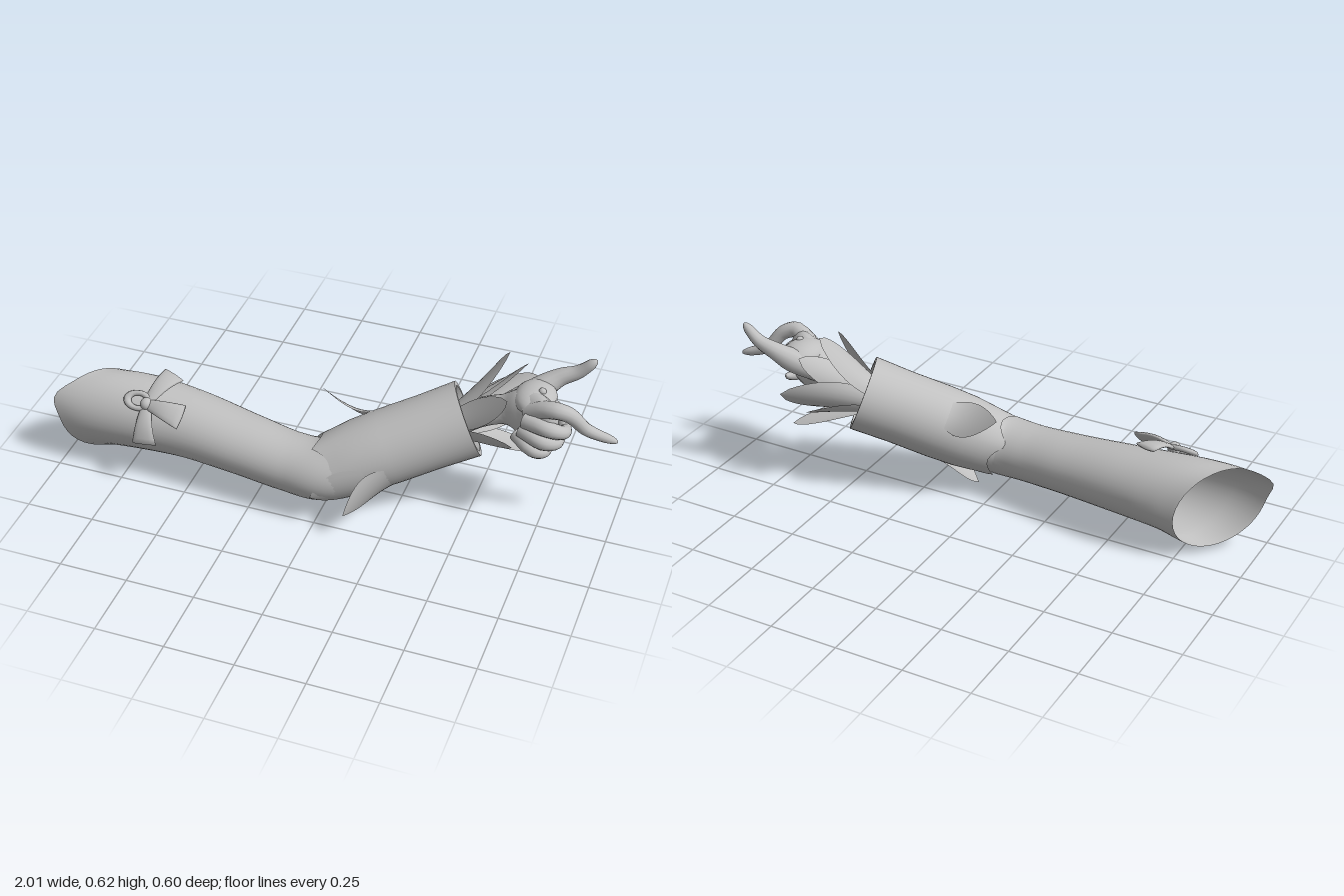
import * as THREE from 'three';
import { toCreasedNormals } from 'three/addons/utils/BufferGeometryUtils.js';

const grey = new THREE.MeshStandardMaterial({ color: 0xc0c0c0, side: THREE.DoubleSide });
grey.name = 'light grey';
const vec = (a) => new THREE.Vector3(a[0], a[1], a[2]);

// Indexed grid surface; point(u, v) gives positions, wrap closes it in v
function surface(rows, cols, wrap, point) {
  const pos = [], index = [], n = wrap ? cols : cols + 1;
  for (let i = 0; i <= rows; i++)
    for (let j = 0; j < n; j++) pos.push(...point(i / rows, j / cols).toArray());
  for (let i = 0; i < rows; i++)
    for (let j = 0; j < cols; j++) {
      const k = (j + 1) % n, a = i * n + j, b = a + n, c = i * n + k, d = c + n;
      index.push(a, b, c, c, b, d);
    }
  const g = new THREE.BufferGeometry();
  g.setAttribute('position', new THREE.Float32BufferAttribute(pos, 3));
  g.setIndex(index);
  g.computeVertexNormals();
  return g;
}

// Tube through sections [x, y, z, height radius, width radius]
function limb(sections, { rows = 24, cols = 16, round = false, deform } = {}) {
  const path = new THREE.CatmullRomCurve3(sections.map(vec));
  const radii = new THREE.CatmullRomCurve3(
    sections.map((s) => new THREE.Vector3(s[3], s[4] ?? s[3], 0)));
  const up = new THREE.Vector3(0, 1, 0);
  return surface(rows, cols, true, (u, v) => {
    const t = round ? 1 - (1 - u) ** 1.5 : u;
    const c = path.getPoint(t), r = radii.getPoint(t), T = path.getTangent(t);
    const U = new THREE.Vector3().crossVectors(up, T).normalize();
    const V = new THREE.Vector3().crossVectors(T, U);
    const k = round && t > 0.9 ? Math.sqrt(Math.max(0, 1 - ((t - 0.9) / 0.1) ** 2)) : 1;
    const q = v * Math.PI * 2;
    c.addScaledVector(V, r.x * k * Math.cos(q)).addScaledVector(U, r.y * k * Math.sin(q));
    if (deform) deform(c, q);
    return c;
  });
}

// Petal wrapped around the y axis, flaring from (baseY, baseR) out to a tip
function petal(tip, baseY, baseR, width, flare, blunt) {
  const angle = Math.atan2(tip.z, tip.x), tipR = Math.hypot(tip.x, tip.z);
  return surface(14, 8, false, (u, v) => {
    const r = baseR + (tipR - baseR) * u ** flare;
    const w = width * Math.max(0, Math.sin(Math.PI * (0.2 + 0.8 * u ** 1.15))) ** blunt;
    const q = angle + ((v * 2 - 1) * w) / r;
    return new THREE.Vector3(r * Math.cos(q), baseY + (tip.y - baseY) * u, r * Math.sin(q));
  });
}

export function createModel() {
  const model = new THREE.Group();
  const add = (name, geometry, parent = model) => {
    const mesh = new THREE.Mesh(geometry, grey);
    mesh.name = name;
    parent.add(mesh);
    return mesh;
  };
  const group = (name, parent = model) => {
    const g = new THREE.Group();
    g.name = name;
    parent.add(g);
    return g;
  };

  // Upper sleeve with a slanted, open shoulder end and one raised point
  add('upperSleeve', limb([
    [-0.87, 0.19, 0.10, 0.163, 0.125], [-0.77, 0.205, 0.10, 0.147, 0.134],
    [-0.55, 0.205, 0.10, 0.125, 0.132], [-0.30, 0.188, 0.128, 0.108, 0.122],
    [-0.12, 0.175, 0.15, 0.104, 0.115], [0.0, 0.178, 0.153, 0.11, 0.117],
    [0.09, 0.212, 0.113, 0.112, 0.115], [0.2, 0.259, 0.062, 0.11, 0.11],
  ], {
    rows: 48, cols: 36,
    deform: (p, q) => {
      const k = THREE.MathUtils.smoothstep(-p.x, 0.5, 0.87);
      const point = Math.max(0, Math.cos(q + 1)) ** 14;
      p.x -= k * (0.95 * (p.z - 0.1) + 0.035 * point);
    },
  }));

  // Forearm frame, with y running from elbow to cuff
  const elbow = vec([0, 0.175, 0.15]), cuffEnd = vec([0.465, 0.371, -0.056]);
  const axis = cuffEnd.clone().sub(elbow), len = axis.length();
  const forearm = group('forearm');
  forearm.position.copy(elbow);
  forearm.quaternion.setFromUnitVectors(new THREE.Vector3(0, 1, 0), axis.normalize());
  forearm.updateMatrixWorld(true);

  // Forearm sleeve: lathe with a thick cuff rim and a scalloped elbow hem
  const profile = [
    [0.119, 0.0], [0.124, 0.06], [0.133, 0.15], [0.136, 0.25], [0.135, 0.4],
    [0.139, len], [0.121, len], [0.117, len - 0.07], [0.11, len - 0.14], [0.04, len - 0.15],
  ];
  const lathe = new THREE.LatheGeometry(profile.map((p) => new THREE.Vector2(...p)), 40);
  const lp = lathe.attributes.position;
  for (let i = 0; i < lp.count; i++) {
    const y = lp.getY(i), q = Math.atan2(lp.getZ(i), lp.getX(i));
    if (y < 0.1) lp.setY(i, y + (1 - y / 0.1) * 0.045 * Math.abs(Math.sin(q * 2.5)));
  }
  add('forearmSleeve', toCreasedNormals(lathe, 0.7), forearm);

  // Pointed leaves lifting from the sleeve at the elbow: tip, length, width
  const hem = group('elbowLeaves', forearm);
  [
    [[-0.075, 0.385, -0.04], 0.17, 0.07], [[0.09, 0.003, 0.13], 0.2, 0.075],
    [[0.125, 0.11, 0.3], 0.22, 0.08], [[-0.01, 0.13, 0.268], 0.24, 0.08],
  ].forEach(([t, length, width]) => {
    const tip = forearm.worldToLocal(vec(t));
    add('elbowLeaf', petal(tip, tip.y + length, 0.133, width, 1.8, 0.9), hem);
  });

  // Petal frill flaring from the wrist: tip, width
  const frill = group('wristFrill', forearm);
  [
    [[0.575, 0.612, -0.16], 0.066], [[0.66, 0.43, -0.298], 0.08],
    [[0.715, 0.225, -0.15], 0.062], [[0.62, 0.545, 0.03], 0.05],
    [[0.61, 0.33, -0.22], 0.055], [[0.65, 0.36, 0.04], 0.04],
    [[0.63, 0.54, -0.215], 0.06],
  ].forEach(([t, width]) => {
    const tip = forearm.worldToLocal(vec(t));
    add('wristPetal', petal(tip, len - 0.06, 0.056, width, 1.2, 0.6), frill);
  });

  // Palm and wrist
  const hand = group('hand');
  add('palm', limb([
    [0.4, 0.345, -0.03, 0.055], [0.5, 0.395, -0.07, 0.052], [0.58, 0.42, -0.085, 0.053, 0.05],
    [0.65, 0.437, -0.075, 0.088, 0.062], [0.715, 0.44, -0.04, 0.103, 0.055],
    [0.76, 0.44, -0.01, 0.095, 0.042], [0.79, 0.44, 0, 0.08, 0.03],
  ], { rows: 30, cols: 20, round: true }), hand);

  // Pointing index, raised thumb and three curled fingers
  const fingers = {
    indexFinger: [[0.68, 0.48, -0.03, 0.035], [0.78, 0.525, 0.0, 0.03],
      [0.83, 0.51, -0.01, 0.027], [0.89, 0.445, -0.035, 0.022], [0.995, 0.405, -0.055, 0.014]],
    thumb: [[0.6, 0.44, -0.1, 0.04], [0.69, 0.49, -0.155, 0.043],
      [0.75, 0.53, -0.185, 0.032], [0.81, 0.56, -0.196, 0.024], [0.87, 0.62, -0.2, 0.016]],
    middleFinger: [[0.68, 0.46, 0.0, 0.032], [0.77, 0.462, 0.03, 0.028],
      [0.812, 0.44, 0.0, 0.025], [0.81, 0.425, -0.05, 0.021], [0.76, 0.505, -0.085, 0.016]],
    ringFinger: [[0.67, 0.42, 0.0, 0.032], [0.755, 0.405, 0.033, 0.027],
      [0.795, 0.4, 0.01, 0.024], [0.79, 0.41, -0.04, 0.02], [0.74, 0.425, -0.07, 0.015]],
    littleFinger: [[0.65, 0.39, -0.01, 0.03], [0.72, 0.36, 0.03, 0.024],
      [0.755, 0.35, 0.01, 0.022], [0.76, 0.37, -0.06, 0.018], [0.75, 0.4, -0.125, 0.013]],
  };
  for (const [name, s] of Object.entries(fingers))
    add(name, limb(s, { cols: 12, round: true }), hand);

  // Web between thumb and index, and a small stud on the hand
  const web = add('thumbWeb', new THREE.SphereGeometry(1, 20, 14), hand);
  web.scale.set(0.075, 0.047, 0.09);
  web.position.set(0.69, 0.495, -0.09);
  const stud = add('stud', new THREE.SphereGeometry(0.014, 12, 8), hand);
  stud.position.set(0.715, 0.535, -0.077);

  // Ribbon bow: three flared tails, a loop and a knot
  const bow = group('bow');
  const knot = vec([-0.655, 0.322, 0.19]);
  [
    [[-0.6, 0.37, 0.06], [0, 1, 0.25]],
    [[-0.51, 0.312, 0.21], [0, 0.7, 0.7]],
    [[-0.64, 0.195, 0.258], [0, 0.3, 1]],
  ].forEach(([tip, out]) => {
    const end = vec(tip), dir = end.clone().sub(knot).normalize();
    const side = new THREE.Vector3().crossVectors(dir, vec(out)).normalize();
    const n = new THREE.Vector3().crossVectors(side, dir);
    // Flattened closed section widening towards the tail end
    const tail = surface(8, 12, true, (u, v) => {
      const q = v * Math.PI * 2, w = 0.018 + 0.032 * Math.min(u, 0.95);
      const k = u === 1 ? 0 : 1;
      return knot.clone().lerp(end, Math.min(1, u * 1.14))
        .addScaledVector(side, k * w * Math.cos(q))
        .addScaledVector(n, 0.018 * Math.sin(Math.PI * u) + k * 0.009 * Math.sin(q));
    });
    add('ribbonTail', tail, bow);
  });
  const loop = add('ribbonLoop', new THREE.TorusGeometry(0.028, 0.01, 8, 20), bow);
  loop.scale.set(1.5, 1, 1);
  loop.position.set(-0.69, 0.325, 0.185);
  loop.rotation.x = -0.85;
  const ball = add('knot', new THREE.SphereGeometry(0.024, 14, 10), bow);
  ball.position.copy(knot);

  return model;
}
